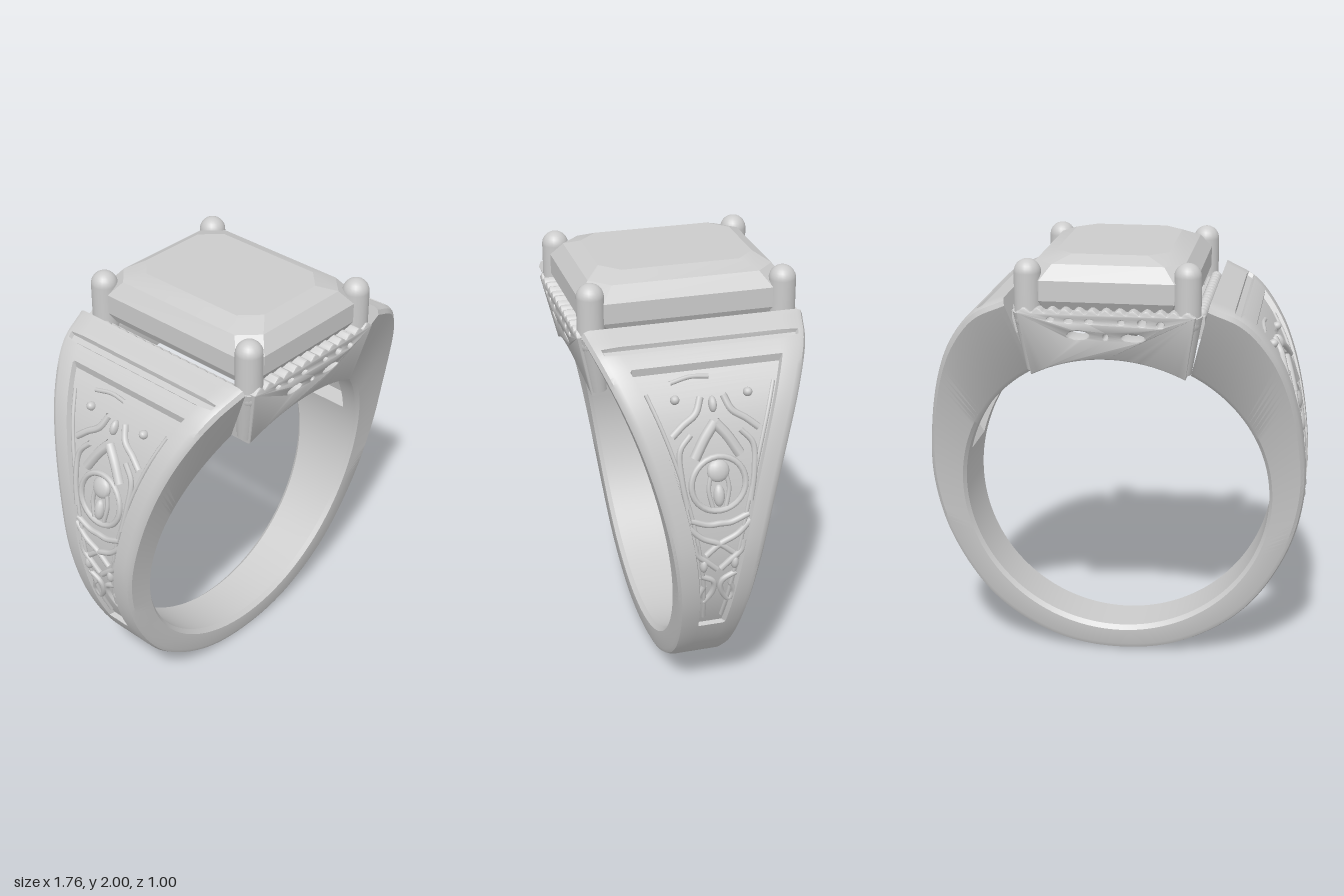
import * as THREE from 'three';
import { mergeVertices, toCreasedNormals } from 'three/addons/utils/BufferGeometryUtils.js';

const mat = new THREE.MeshStandardMaterial({ color: 0xcccccc, side: THREE.DoubleSide });
const BORE_Y = 0.84, BORE_R = 0.715;

// Outer outline of the band, from the left shoulder round the bottom to the right one
const half = [[0.3, 0.05], [0.6, 0.24], [0.8, 0.55], [0.875, 0.86], [0.86, 1.15],
  [0.8, 1.42], [0.72, 1.6], [0.6, 1.745], [0.45, 1.82]];
const outline = new THREE.CatmullRomCurve3([
  ...half.map(([x, y]) => new THREE.Vector3(-x, y, 0)).reverse(),
  new THREE.Vector3(0, 0, 0),
  ...half.map(([x, y]) => new THREE.Vector3(x, y, 0))]);
outline.arcLengthDivisions = 600;

const halfWidth = (y) => 0.125 + 0.04 * y + 0.0535 * Math.pow(Math.max(y, 0), 2.85);
const panelHalf = (y) => 0.95 * halfWidth(y) - 0.09;
const outerAt = (s) => outline.getPointAt((s + 1) / 2);
const innerAt = (s) => {
  const a = THREE.MathUtils.degToRad(-90 + 150 * s);
  return new THREE.Vector3(BORE_R * Math.cos(a), BORE_Y + BORE_R * Math.sin(a), 0);
};
const within = (v, a, b) => v > a && v < b;
const PANEL = [0.385, 0.907], GROOVE = [0.94, 0.955], POCKETS = [[0.69, 0.88], [0.915, 0.965]];

function mesh(name, geometry, crease = 0.6) {
  const m = new THREE.Mesh(crease ? toCreasedNormals(geometry, crease) : geometry, mat);
  m.name = name;
  return m;
}

// Joins closed rings of points into a skin, with both ends capped
function loft(rings) {
  const n = rings[0].length, pos = [], idx = [];
  rings.forEach((r) => r.forEach((p) => pos.push(p.x, p.y, p.z)));
  for (let j = 0; j < rings.length - 1; j++) {
    for (let i = 0; i < n; i++) {
      const a = j * n + i, b = j * n + (i + 1) % n;
      idx.push(a, b, b + n, a, b + n, a + n);
    }
  }
  [[0, true], [rings.length - 1, false]].forEach(([j, flip]) => {
    const c = rings[j].reduce((s, p) => s.add(p), new THREE.Vector3()).divideScalar(n);
    const k = pos.length / 3;
    pos.push(c.x, c.y, c.z);
    for (let i = 0; i < n; i++) {
      const a = j * n + i, b = j * n + (i + 1) % n;
      idx.push(k, flip ? b : a, flip ? a : b);
    }
  });
  const g = new THREE.BufferGeometry();
  g.setAttribute('position', new THREE.Float32BufferAttribute(pos, 3));
  g.setIndex(idx);
  g.computeVertexNormals();
  return g;
}

// Band: flared section with sunken outer panels and hollowed pockets inside
function band() {
  const stations = [];
  for (let i = -90; i <= 90; i++) stations.push(i / 90);
  [PANEL, GROOVE, ...POCKETS].flat().forEach((s) => {
    [-1, 1].forEach((k) => stations.push(k * (s - 0.002), k * (s + 0.002)));
  });
  stations.sort((a, b) => a - b);
  return loft(stations.map((s) => {
    const t = Math.abs(s), o = outerAt(s), q = innerAt(s);
    const dir = o.clone().sub(q).normalize();
    const wo = halfWidth(o.y), wi = halfWidth(q.y);
    const groove = within(t, ...GROOVE);
    const d = within(t, ...PANEL) ? 0.03 : groove ? 0.018 : 0;
    const m = groove ? wo - 0.045 : Math.max(panelHalf(o.y), 0.03);
    const p = POCKETS.some((r) => within(t, ...r)) ? 0.065 : 0;
    const k = wi * 0.58;
    const side = [[q, k, p], [q, k, 0], [q, wi - 0.02, 0], [q, wi, 0.02],
      [o, wo, -0.03], [o, wo - 0.01, -0.009], [o, wo - 0.03, 0], [o, m + 0.01, 0], [o, m, -d]];
    const mirrored = side.map(([b, z, f]) => [b, -z, f]).reverse();
    return [...side, ...mirrored].map(([b, z, f]) => {
      const v = b.clone().addScaledVector(dir, f);
      v.z = z;
      return v;
    });
  }));
}

// Finds a point on the right-hand panel floor from a height and a z position
function onPanel(y, z, lift = 0) {
  let lo = 0.2, hi = 1;
  for (let i = 0; i < 24; i++) {
    const mid = (lo + hi) / 2;
    if (outerAt(mid).y < y) lo = mid; else hi = mid;
  }
  const o = outerAt(lo), dir = o.clone().sub(innerAt(lo)).normalize();
  o.addScaledVector(dir, -0.03 + lift);
  o.z = z;
  return o;
}

function relief(points, radius = 0.014, closed = false) {
  const curve = new THREE.CatmullRomCurve3(points.map(([y, z]) => onPanel(y, z, 0.006)), closed);
  return mesh('reliefLine', new THREE.TubeGeometry(curve, 28, radius, 7, closed), 0);
}

function blob(y, z, ry, rz, lift = 0.005) {
  const b = mesh('reliefBoss', new THREE.SphereGeometry(1, 14, 10), 0);
  b.scale.set(0.024, ry, rz);
  b.position.copy(onPanel(y, z, lift));
  b.rotation.z = Math.max(0, (y - 0.85) * 0.6);
  return b;
}

// Scrolling ornament that fills one shoulder panel
function ornament() {
  const g = new THREE.Group();
  const oval = [];
  for (let i = 0; i < 16; i++) {
    const a = i / 16 * Math.PI * 2;
    oval.push([1.24 + 0.12 * Math.sin(a), 0.12 * Math.cos(a)]);
  }
  g.add(relief(oval, 0.014, true), relief([[1.66, 0.17], [1.675, 0.08], [1.67, 0]], 0.01));
  g.add(blob(1.19, 0, 0.05, 0.025), blob(1.3, 0, 0.05, 0.05), blob(1.57, 0.0, 0.035, 0.018));
  [-1, 1].forEach((k) => {
    const line = (pts, r) => g.add(relief(pts.map(([y, z]) => [y, z * k]), r));
    const edge = [];
    for (let y = 0.53; y < 1.69; y += 0.1) edge.push([y, panelHalf(y) - 0.016]);
    line(edge, 0.009);
    line([[1.5, 0], [1.44, 0.05], [1.36, 0.1]], 0.024);
    line([[1.3, 0.03], [1.22, 0.045], [1.14, 0.03]], 0.01);
    line([[1.46, 0.19], [1.5, 0.14], [1.54, 0.08], [1.6, 0.05]], 0.016);
    line([[1.15, 0.14], [1.28, 0.16], [1.4, 0.16], [1.46, 0.11]], 0.013);
    line([[1.09, 0.13], [1.06, 0.05], [1.06, 0]], 0.014);
    line([[1.06, 0.14], [1.0, 0.08], [0.96, 0], [0.91, -0.06]], 0.014);
    line([[0.97, 0.11], [0.92, 0.1], [0.87, 0.05], [0.83, 0.01]], 0.014);
    line([[0.8, 0.08], [0.76, 0.02], [0.7, 0.02], [0.64, 0.06], [0.68, 0.08], [0.74, 0.06]], 0.013);
    g.add(blob(0.86, 0.07 * k, 0.035, 0.018), blob(1.6, 0.16 * k, 0.02, 0.02));
  });
  return g;
}

// Cut stone: stacked rectangles with clipped corners
function stone() {
  const ring = (hx, hz, y) => {
    const c = Math.min(0.085, hx * 0.6, hz * 0.6);
    return [[hx, hz - c], [hx, c - hz], [hx - c, -hz], [c - hx, -hz],
      [-hx, c - hz], [-hx, hz - c], [c - hx, hz], [hx - c, hz]]
      .map(([x, z]) => new THREE.Vector3(x, y, z));
  };
  return loft([ring(0.015, 0.1, 1.535), ring(0.18, 0.26, 1.64), ring(0.36, 0.44, 1.77), ring(0.38, 0.465, 1.81),
    ring(0.38, 0.465, 1.9), ring(0.33, 0.415, 1.965), ring(0.25, 0.35, 2.0)]);
}

// Pierced gallery wall: scalloped top, arched bottom, leaning inward lower down
function galleryWall() {
  const s = new THREE.Shape();
  const arch = (x) => BORE_Y + Math.sqrt(BORE_R * BORE_R - x * x) + 0.005;
  s.moveTo(-0.34, arch(0.34));
  for (let i = -11; i <= 12; i++) s.lineTo(i / 12 * 0.34, arch(i / 12 * 0.34));
  for (let i = 48; i >= -48; i--) s.lineTo(i / 48 * 0.385, 1.772 + 0.01 * Math.cos(i * 0.85));
  [[0, 1.665, 0.018, 0.02], [0.12, 1.665, 0.058, 0.024], [-0.12, 1.67, 0.055, 0.026],
    [0.07, 1.735, 0.022, 0.014], [-0.07, 1.735, 0.025, 0.014], [0.16, 1.735, 0.026, 0.02],
    [-0.16, 1.735, 0.026, 0.014], [0.24, 1.73, 0.022, 0.018], [-0.24, 1.74, 0.022, 0.014]]
    .forEach(([x, y, rx, ry]) => s.holes.push(new THREE.Path().absellipse(x, y, rx, ry, 0, Math.PI * 2, true)));
  const g = new THREE.ExtrudeGeometry(s, { depth: 0.1, curveSegments: 8,
    bevelSize: 0.006, bevelThickness: 0.008, bevelSegments: 2 });
  g.translate(0, 0, 0.392);
  const p = g.attributes.position;
  for (let i = 0; i < p.count; i++) p.setZ(i, p.getZ(i) - Math.max(0, 1.7 - p.getY(i)) * 0.3);
  g.deleteAttribute('normal');
  g.deleteAttribute('uv');
  return mergeVertices(g);
}

export function createModel() {
  const ring = new THREE.Group();
  ring.name = 'ring';
  ring.add(mesh('band', band()), mesh('stone', stone(), 0.3));

  // Matching halves, each turned half a circle
  [0, Math.PI].forEach((turn, i) => {
    const wall = mesh(i ? 'backGallery' : 'frontGallery', galleryWall());
    wall.rotation.y = turn;
    const panel = ornament();
    panel.name = i ? 'leftOrnament' : 'rightOrnament';
    panel.name = i ? 'minusSideOrnament' : 'plusSideOrnament';
    panel.rotation.y = turn;
    ring.add(wall, panel);

    // Beaded rail beside the stone
    const rail = new THREE.Group();
    rail.name = 'beadedRail';
    const ledge = mesh('railLedge', new THREE.BoxGeometry(0.06, 0.1, 0.84));
    ledge.position.set(0.395, 1.705, 0);
    rail.add(ledge);
    for (let k = -7; k <= 7; k++) {
      const bead = mesh('bead', new THREE.SphereGeometry(0.027, 10, 8), 0);
      bead.position.set(0.405, 1.755, k * 0.053);
      rail.add(bead);
    }
    rail.rotation.y = turn;
    ring.add(rail);
  });

  // Prongs on tapering corner posts
  [-1, 1].forEach((sx) => [-1, 1].forEach((sz) => {
    const prong = mesh('prong', new THREE.CapsuleGeometry(0.06, 0.2, 8, 20), 0);
    prong.position.set(0.35 * sx, 1.83, 0.43 * sz);
    const post = mesh('cornerPost', new THREE.CylinderGeometry(0.058, 0.036, 0.28, 16));
    post.position.set(0.345 * sx, 1.63, 0.415 * sz);
    post.rotation.set(0.15 * sz, 0, -0.1 * sx);
    ring.add(prong, post);
  }));
  return ring;
}
